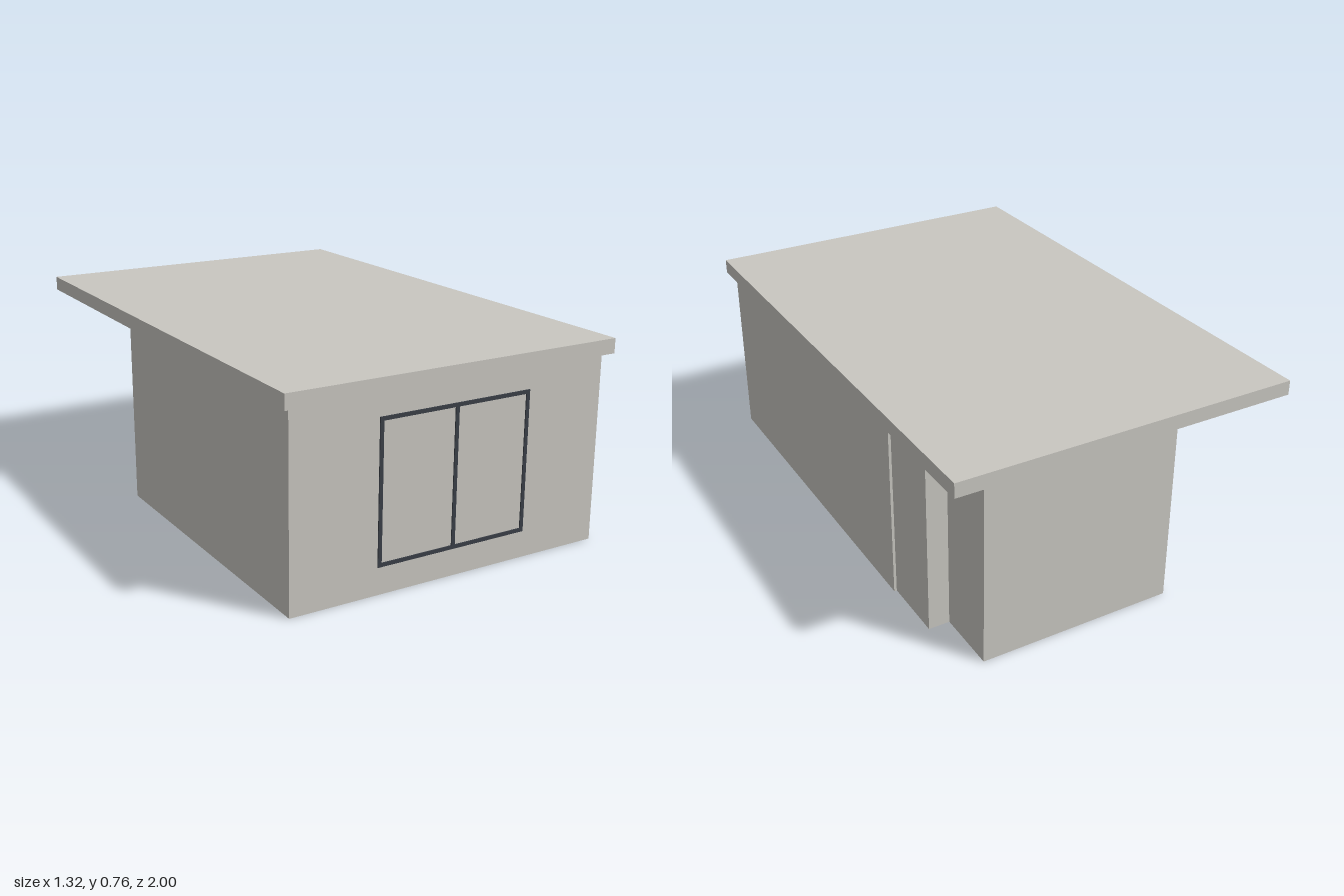
import * as THREE from 'three';

const material = (name, color) => {
  const m = new THREE.MeshStandardMaterial({ color });
  m.name = name;
  return m;
};

// Extrudes an [x, z] outline upward from y0 to y1
function prism(name, points, y0, y1, mat) {
  const shape = new THREE.Shape(points.map(([x, z]) => new THREE.Vector2(x, -z)));
  const geo = new THREE.ExtrudeGeometry(shape, { depth: y1 - y0, bevelEnabled: false });
  geo.rotateX(-Math.PI / 2);
  geo.translate(0, y0, 0);
  const mesh = new THREE.Mesh(geo, mat);
  mesh.name = name;
  return mesh;
}

// Box given by its limits on each axis
function block(name, [x0, x1], [y0, y1], [z0, z1], mat) {
  const mesh = new THREE.Mesh(new THREE.BoxGeometry(x1 - x0, y1 - y0, z1 - z0), mat);
  mesh.position.set((x0 + x1) / 2, (y0 + y1) / 2, (z0 + z1) / 2);
  mesh.name = name;
  return mesh;
}

export function createModel() {
  const plaster = material('plaster', 0xc9c7c1);
  const charcoal = material('charcoal', 0x3a3f47);
  const wood = material('woodFloor', 0x80614a);
  const tile = material('tileFloor', 0x9f9d93);
  const offWhite = material('offWhite', 0xdcdad5);

  const model = new THREE.Group();
  model.name = 'house';

  // Roof slab
  model.add(block('roof', [-0.66, 0.66], [0.705, 0.76], [-1, 1], plaster));

  // Outer walls, a ring left open at the doorway
  const outer = [
    [-0.315, -0.26], [-0.21, -0.26], [-0.21, -0.39], [-0.205, -0.39], [-0.205, -0.97],
    [0.54, -0.97], [0.54, -0.73], [0.62, -0.73], [0.62, -0.48], [0.63, -0.48],
    [0.63, 0.97], [-0.63, 0.97], [-0.63, -0.26], [-0.565, -0.26],
  ];
  const inner = [
    [-0.565, -0.2], [-0.57, -0.2], [-0.57, 0.91], [0.57, 0.91], [0.57, -0.46],
    [0.5, -0.46], [0.5, -0.92], [-0.15, -0.92], [-0.15, -0.2], [-0.315, -0.2],
  ];
  model.add(prism('walls', [...outer, ...inner], 0, 0.705, plaster));
  model.add(block('lintel', [-0.565, -0.315], [0.58, 0.705], [-0.26, -0.2], plaster));
  model.add(block('partitionWall', [-0.15, 0.5], [0.025, 0.705], [-0.46, -0.42], plaster));

  // Floors, set slightly above the foot of the walls
  model.add(prism('mainFloor', [
    [-0.57, 0.91], [0.57, 0.91], [0.57, -0.46], [-0.15, -0.46], [-0.15, -0.2], [-0.57, -0.2],
  ], 0.012, 0.025, wood));
  model.add(block('backRoomFloor', [-0.15, 0.5], [0.012, 0.025], [-0.92, -0.46], tile));

  // Door with frame, threshold and handle
  const door = new THREE.Group();
  door.name = 'door';
  door.add(block('doorPanel', [-0.553, -0.327], [0.02, 0.568], [-0.245, -0.225], charcoal));
  for (const x of [-0.565, -0.327])
    door.add(block('doorJamb', [x, x + 0.012], [0, 0.58], [-0.264, -0.2], plaster));
  door.add(block('doorHead', [-0.553, -0.327], [0.568, 0.58], [-0.264, -0.2], plaster));
  door.add(block('threshold', [-0.553, -0.327], [0, 0.02], [-0.255, -0.2], plaster));
  door.add(block('handle', [-0.365, -0.34], [0.29, 0.3], [-0.262, -0.245], offWhite));
  model.add(door);

  // Front window: two panes divided by a mullion
  const windowFrame = new THREE.Group();
  windowFrame.name = 'windowFrame';
  const z = [0.965, 0.974];
  for (const x of [-0.297, 0, 0.296])
    windowFrame.add(block('frameUpright', [x, x + 0.014], [0.1, 0.62], z, charcoal));
  for (const y of [0.1, 0.606])
    windowFrame.add(block('frameRail', [-0.297, 0.31], [y, y + 0.014], z, charcoal));
  model.add(windowFrame);

  // Furniture standing through the floor surface
  model.add(prism('cornerSofa', [
    [0.37, 0.9], [0.37, 0.4], [-0.05, 0.4], [-0.05, 0.63], [0.15, 0.63], [0.15, 0.9],
  ], 0.011, 0.15, offWhite));
  model.add(prism('cornerTable', [[-0.2, 0.26], [-0.37, 0.28], [-0.35, 0.48]], 0.011, 0.14, offWhite));
  model.add(block('cabinet', [0.4, 0.565], [0.011, 0.28], [-0.08, 0.27], charcoal));

  return model;
}
